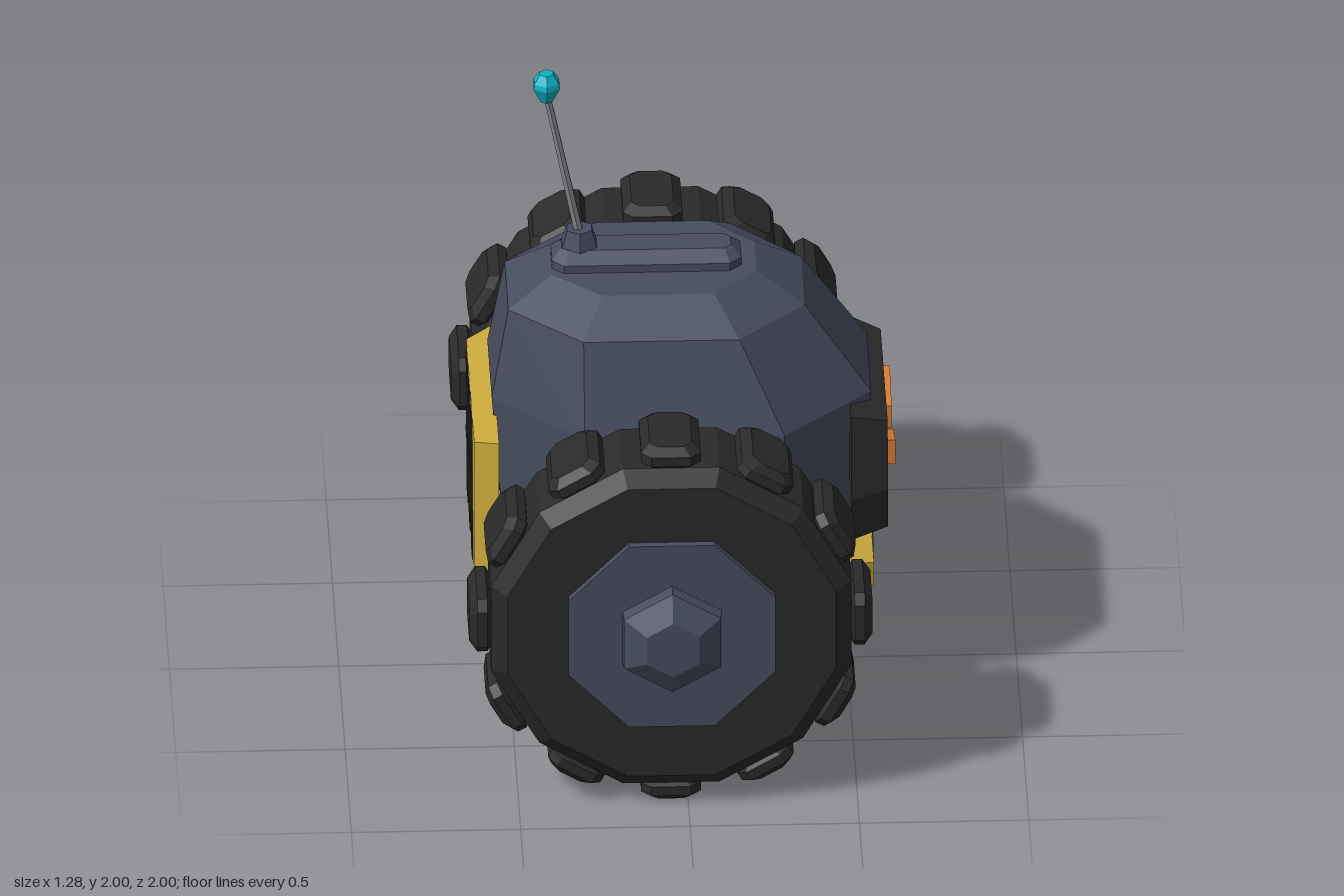
import * as THREE from 'three';

const mat = (name, color) => {
  const m = new THREE.MeshStandardMaterial({ color, flatShading: true });
  m.name = name;
  return m;
};

// Skin a stack of equal-length convex rings of [x, y, z], capped at both ends
function loft(rings) {
  const tris = [];
  const n = rings[0].length;
  for (let r = 0; r < rings.length - 1; r++) {
    for (let i = 0; i < n; i++) {
      const j = (i + 1) % n, a = rings[r], b = rings[r + 1];
      tris.push([a[i], a[j], b[j]], [a[i], b[j], b[i]]);
    }
  }
  const first = rings[0], last = rings[rings.length - 1];
  for (let i = 1; i < n - 1; i++) {
    tris.push([first[0], first[i + 1], first[i]], [last[0], last[i], last[i + 1]]);
  }
  // Turn the faces outward whichever way the rings run
  let volume = 0;
  const [c] = first;
  const v = (p) => new THREE.Vector3(p[0] - c[0], p[1] - c[1], p[2] - c[2]);
  tris.forEach(([p, q, s]) => { volume += v(p).dot(v(q).cross(v(s))); });
  if (volume < 0) tris.forEach((t) => t.reverse());
  const g = new THREE.BufferGeometry();
  g.setAttribute('position', new THREE.Float32BufferAttribute(tris.flat(2), 3));
  g.computeVertexNormals();
  return g;
}

// Regular polygon about the z axis, sized by its flats, with a flat on top
const flatRing = (n, apothem, z) => Array.from({ length: n }, (_, i) => {
  const a = Math.PI / 2 + (i + 0.5) * 2 * Math.PI / n, r = apothem / Math.cos(Math.PI / n);
  return [r * Math.cos(a), r * Math.sin(a), z];
});
// Regular polygon about the z axis with a corner on top
const pointRing = (n, r, z) => Array.from({ length: n }, (_, i) => {
  const a = Math.PI / 2 + i * 2 * Math.PI / n;
  return [r * Math.cos(a), r * Math.sin(a), z];
});
// Chamfered rectangle in x/z at height y
const chamferRing = (hx, hz, c, y, x = 0) => [
  [x + hx, y, hz - c], [x + hx - c, y, hz], [x - hx + c, y, hz], [x - hx, y, hz - c],
  [x - hx, y, c - hz], [x - hx + c, y, -hz], [x + hx - c, y, -hz], [x + hx, y, c - hz],
];
// Outline of [z, y] points placed at a given x
const sideRing = (x, pts) => pts.map(([z, y]) => [x, y, z]);

export function createModel() {
  const model = new THREE.Group();
  const shell = mat('slate blue', 0x474d5e);
  const rubber = mat('tyre black', 0x2a2a2a);
  const yellow = mat('hazard yellow', 0xc9a83c);
  const orange = mat('eye orange', 0xdb7a30);
  const cyan = mat('beacon cyan', 0x0bb4c8);
  const steel = mat('steel grey', 0x85878c);

  const add = (name, geometry, material, parent = model) => {
    const mesh = new THREE.Mesh(geometry, material);
    mesh.name = name;
    parent.add(mesh);
    return mesh;
  };

  // Body: [y, back x, front x, side back x, side front x, half z, end half z]
  const levels = [
    [0.25, -0.40, 0.40, -0.22, 0.22, 0.34, 0.15],
    [0.42, -0.51, 0.51, -0.28, 0.28, 0.43, 0.175],
    [1.0, -0.555, 0.565, -0.29, 0.30, 0.437, 0.175],
    [1.28, -0.505, 0.37, -0.29, 0.17, 0.35, 0.145],
    [1.365, -0.375, 0.23, -0.23, 0.1, 0.22, 0.09],
  ];
  add('body', loft(levels.map(([y, b, f, sb, sf, h, e]) => [
    [f, y, e], [sf, y, h], [sb, y, h], [b, y, e],
    [b, y, -e], [sb, y, -h], [sf, y, -h], [f, y, -e],
  ])), shell);

  // Raised ridge on the roof
  add('roofRidge', loft([
    chamferRing(0.28, 0.085, 0.035, 1.35, -0.093),
    chamferRing(0.28, 0.085, 0.035, 1.39, -0.093),
    chamferRing(0.25, 0.045, 0.02, 1.42, -0.093),
  ]), shell);

  // Antenna
  const foot = new THREE.Vector3(-0.29, 1.45, 0), tip = new THREE.Vector3(-0.387, 1.93, 0);
  add('antennaBase', new THREE.CylinderGeometry(0.042, 0.06, 0.055, 6), shell).position.set(-0.29, 1.445, 0);
  const rod = add('antennaRod', new THREE.CylinderGeometry(0.011, 0.015, foot.distanceTo(tip), 6), steel);
  rod.position.lerpVectors(foot, tip, 0.5);
  rod.quaternion.setFromUnitVectors(new THREE.Vector3(0, 1, 0), tip.clone().sub(foot).normalize());
  const beacon = add('antennaBeacon', loft([[0.02, -0.045], [0.045, 0.005], [0.042, 0.02], [0.023, 0.047]]
    .map(([r, z]) => pointRing(6, r, z))), cyan);
  beacon.rotation.x = -Math.PI / 2;
  beacon.position.set(-0.387, 1.95, 0);

  // Face plate with two slanted eyes
  const face = (x, top, mid, low, yTop, yMid, yLow) => sideRing(x,
    [[top, yTop], [mid, yMid], [low, yLow], [-low, yLow], [-mid, yMid], [-top, yTop]]);
  add('facePlate', loft([
    face(0.5, 0.315, 0.37, 0.325, 0.99, 0.74, 0.58),
    face(0.61, 0.275, 0.325, 0.29, 0.955, 0.75, 0.605),
  ]), rubber);
  for (const s of [1, -1]) {
    const eye = [[0.225, 0.86], [0.07, 0.81], [0.07, 0.735], [0.225, 0.78]].map(([z, y]) => [z * s, y]);
    add(s > 0 ? 'rightEye' : 'leftEye', loft([sideRing(0.6, eye), sideRing(0.635, eye)]), orange);
  }

  // Hazard panel: a bevelled plate with slanted stripes laid on its face
  function hazardPanel(name, xBack, xFace, y0, y1, halfZ, bevel, centres, width, slant) {
    const group = new THREE.Group();
    group.name = name;
    model.add(group);
    const rect = (h, a, b) => [[h, b], [h, a], [-h, a], [-h, b]];
    const low = y0 + bevel * 0.4, high = y1 - bevel * 0.4;
    add('plate', loft([sideRing(xBack, rect(halfZ, y0, y1)),
      sideRing(xFace, rect(halfZ - bevel, low, high))]), yellow, group);
    const out = xFace + Math.sign(xFace) * 0.004;
    for (const z of centres) {
      const w = width / 2, t = slant / 2;
      const stripe = [[z + t - w, high], [z + t + w, high], [z - t + w, low], [z - t - w, low]];
      add('stripe', loft([sideRing(xFace, stripe), sideRing(out, stripe)]), rubber, group);
    }
  }
  hazardPanel('frontBumper', 0.49, 0.57, 0.385, 0.488, 0.305, 0.03, [0.095, -0.04], 0.085, -0.055);
  hazardPanel('backPanel', -0.54, -0.612, 0.48, 0.945, 0.355, 0.045, [-0.17, 0, 0.17], 0.09, -0.08);

  // Wheels, built about their own hub with the outside at +z
  const tyreGeo = loft([[0.49, -0.16], [0.532, -0.12], [0.532, 0.12], [0.485, 0.163]]
    .map(([r, z]) => flatRing(12, r, z)));
  const discGeo = loft([flatRing(8, 0.305, -0.185), flatRing(8, 0.305, 0.187)]);
  const capGeo = loft([[0.17, 0.18], [0.165, 0.23], [0.09, 0.275]].map(([r, z]) => pointRing(6, r, z)));
  const axleGeo = loft([flatRing(8, 0.13, -0.42), flatRing(8, 0.13, -0.15)]);
  const treadGeo = loft([
    chamferRing(0.065, 0.11, 0.025, 0.525),
    chamferRing(0.088, 0.13, 0.03, 0.542),
    chamferRing(0.088, 0.13, 0.03, 0.572),
    chamferRing(0.062, 0.105, 0.025, 0.595),
  ]);
  for (const s of [1, -1]) {
    const wheel = new THREE.Group();
    wheel.name = s > 0 ? 'rightWheel' : 'leftWheel';
    wheel.position.set(-0.05, 0.597, s * 0.725);
    if (s < 0) wheel.rotation.y = Math.PI;
    add('tyre', tyreGeo, rubber, wheel);
    add('hubDisc', discGeo, shell, wheel);
    add('hubCap', capGeo, shell, wheel);
    add('axle', axleGeo, shell, wheel);
    for (let i = 0; i < 12; i++) {
      add('tread', treadGeo, rubber, wheel).rotation.z = i * Math.PI / 6;
    }
    model.add(wheel);
  }
  return model;
}
